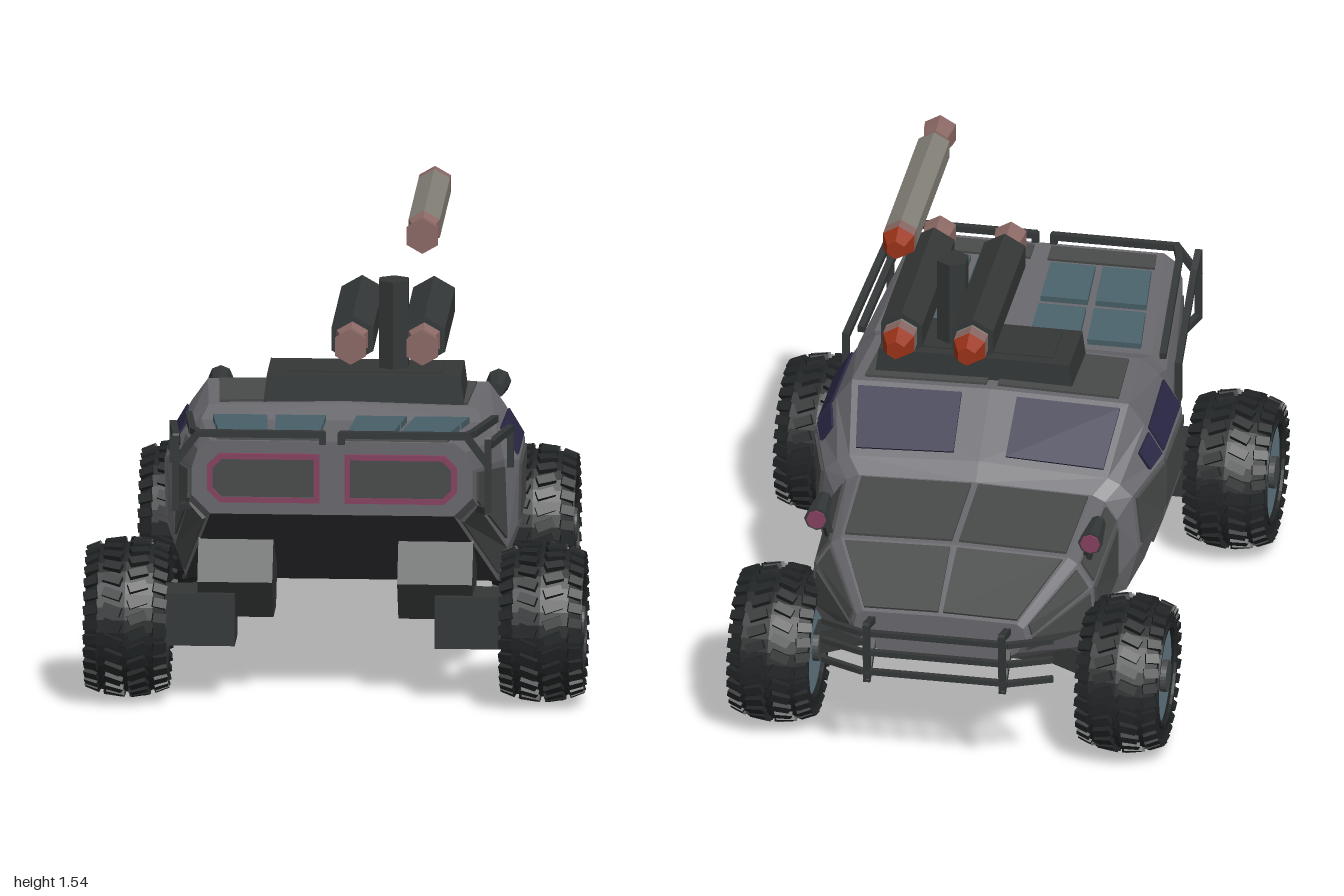
import * as THREE from 'three';
import { mergeGeometries } from 'three/addons/utils/BufferGeometryUtils.js';

const mat = (color) => new THREE.MeshStandardMaterial({ color, flatShading: true });
const M = {
  frame: mat(0x68676c), panel: mat(0x484a4a), dark: mat(0x343737), under: mat(0x333336),
  tyre: mat(0x212425), rim: mat(0x667b86), hub: mat(0x45494b), glass: mat(0x2a2845),
  solar: mat(0x4a626a), pink: mat(0x85405f), shell: mat(0x827f76), nozzle: mat(0x8a6864), tip: mat(0x9a3218),
};
const V = (x, y, z) => new THREE.Vector3(x, y, z);

// Hull stations: z, then a half outline from keel centre, round the side, to roof centre
const HULL = [
  [0.98, [[0, .65], [.39, .65], [.45, .71], [.45, .8], [.43, .86], [.39, .89], [0, .89]]],
  [0.42, [[0, .31], [.5, .31], [.53, .42], [.52, .71], [.5, .78], [.45, .83], [0, .83]]],
  [0.34, [[0, .31], [.5, .31], [.56, .48], [.565, .69], [.49, .81], [.43, .86], [0, .87]]],
  [0.02, [[0, .31], [.5, .31], [.56, .48], [.565, .69], [.5, .8], [.45, .87], [0, .88]]],
  [-0.19, [[0, .31], [.48, .31], [.52, .46], [.5, .65], [.46, .69], [.42, .71], [0, .73]]],
  [-0.24, [[0, .31], [.43, .31], [.46, .38], [.46, .59], [.42, .65], [.38, .67], [0, .68]]],
  [-0.62, [[0, .31], [.42, .33], [.46, .4], [.45, .55], [.4, .63], [.37, .65], [0, .66]]],
  [-0.88, [[0, .4], [.2, .4], [.25, .43], [.28, .48], [.27, .52], [.25, .535], [0, .54]]],
];
const pt = (i, j, s) => V(HULL[i][1][j][0] * s, HULL[i][1][j][1], HULL[i][0]);
const quad = (s, a, d, c, b) => (s > 0 ? [a, d, c, b] : [a, b, c, d]);

// Flat-faced geometry from loops of coplanar corners
function facets(loops) {
  const pos = [];
  for (const l of loops)
    for (let k = 1; k < l.length - 1; k++) for (const p of [l[0], l[k], l[k + 1]]) pos.push(p.x, p.y, p.z);
  const g = new THREE.BufferGeometry();
  g.setAttribute('position', new THREE.Float32BufferAttribute(pos, 3));
  g.computeVertexNormals();
  return g;
}

export function createModel() {
  const root = new THREE.Group();
  root.name = 'armedBuggy';
  const add = (name, geo, m, x = 0, y = 0, z = 0, parent = root) => {
    const mesh = new THREE.Mesh(geo, m);
    mesh.name = name;
    mesh.position.set(x, y, z);
    parent.add(mesh);
    return mesh;
  };
  const box = (name, m, w, h, d, x, y, z, p) => add(name, new THREE.BoxGeometry(w, h, d), m, x, y, z, p);

  // Square bars along a polyline
  const bars = (name, m, pts, t = 0.022) => {
    const parts = [];
    for (let k = 0; k < pts.length - 1; k++) {
      const o = new THREE.Object3D();
      o.position.copy(pts[k]).lerp(pts[k + 1], 0.5);
      o.lookAt(pts[k + 1]);
      o.updateMatrix();
      parts.push(new THREE.BoxGeometry(t, t, pts[k].distanceTo(pts[k + 1]) + t * 0.6).applyMatrix4(o.matrix));
    }
    return add(name, mergeGeometries(parts), m);
  };

  // Hull, underside and end faces
  const hull = [], belly = [];
  for (const s of [1, -1]) {
    for (let i = 0; i < HULL.length - 1; i++)
      for (let j = 0; j < 6; j++)
        (j ? hull : belly).push(quad(s, pt(i, j, s), pt(i + 1, j, s), pt(i + 1, j + 1, s), pt(i, j + 1, s)));
    const rear = HULL[0][1].map((_, j) => pt(0, j, s));
    const nose = HULL[0][1].map((_, j) => pt(HULL.length - 1, j, s));
    hull.push(s > 0 ? rear : rear.reverse(), s > 0 ? nose.reverse() : nose);
  }
  add('hull', facets(hull), M.frame);
  add('underside', facets(belly), M.under);

  // Raised plates lying on hull faces: station i, outline step j, u along z, v along the outline
  const plate = (name, m, i, j, u0, u1, v0, v1, lift = 0.008) => {
    const loops = [];
    for (const s of [1, -1]) {
      const at = (u, v) => pt(i, j, s).lerp(pt(i + 1, j, s), u)
        .lerp(pt(i, j + 1, s).lerp(pt(i + 1, j + 1, s), u), v);
      const q = quad(s, at(u0, v0), at(u1, v0), at(u1, v1), at(u0, v1));
      const n = q[2].clone().sub(q[0]).cross(q[3].clone().sub(q[1])).normalize();
      const top = q.map((p) => p.clone().addScaledVector(n, lift));
      const low = q.map((p) => p.clone().addScaledVector(n, -0.01));
      loops.push(top);
      for (let k = 0; k < 4; k++) loops.push([low[k], low[(k + 1) % 4], top[(k + 1) % 4], top[k]]);
    }
    add(name, facets(loops), m);
  };
  plate('rearSidePanel', M.panel, 0, 2, .12, .95, .08, .92);
  plate('rearLowerPanel', M.panel, 0, 1, .12, .95, .15, .95);
  plate('doorPanel', M.panel, 2, 2, .03, .97, .06, .92);
  plate('frontDoorPanel', M.panel, 3, 2, .05, .9, .06, .9);
  plate('sidePanelLow', M.panel, 2, 1, .03, .97, .35, .95);
  plate('sideWindow', M.glass, 2, 3, .03, .97, .12, .85);
  plate('quarterWindow', M.glass, 3, 3, .03, .4, .12, .8);
  plate('windscreen', M.glass, 3, 5, .08, .9, .05, .8);
  plate('roofPanel', M.panel, 2, 5, .08, .92, .08, .96);
  plate('hoodPanel', M.panel, 5, 5, .05, .95, .03, .97);
  plate('hoodSidePanel', M.panel, 5, 2, .06, .95, .08, .92);
  plate('hoodEdgePanel', M.panel, 5, 3, .06, .95, .1, .9);
  plate('nosePanel', M.panel, 6, 5, .05, .95, .03, .97);
  plate('noseSidePanel', M.panel, 6, 2, .06, .9, .08, .92);
  plate('noseEdgePanel', M.panel, 6, 3, .06, .92, .1, .9);
  plate('rearVent', M.panel, 0, 5, .04, .17, .06, .93);
  for (const [u0, u1] of [[.23, .57], [.64, .95]])
    for (const [v0, v1] of [[.08, .47], [.53, .89]]) plate('solarPanel', M.solar, 0, 5, u0, u1, v0, v1, 0.02);

  // Rear lamp surrounds with clipped outer corners
  const lampLoop = (s, g) => [[.04 + g, .69 + g], [.36 - g * .4, .69 + g], [.4 - g, .73 + g * .4],
    [.4 - g, .81 - g * .4], [.36 - g * .4, .85 - g], [.04 + g, .85 - g]].map(([x, y]) => new THREE.Vector2(x * s, y));
  for (const s of [1, -1]) {
    const ring = new THREE.Shape(lampLoop(s, 0));
    ring.holes.push(new THREE.Path(lampLoop(s, 0.018)));
    add('lampRing', new THREE.ExtrudeGeometry(ring, { depth: 0.012, bevelEnabled: false }), M.pink, 0, 0, .98);
    add('lampPanel', new THREE.ExtrudeGeometry(new THREE.Shape(lampLoop(s, 0.018)),
      { depth: 0.006, bevelEnabled: false }), M.panel, 0, 0, .98);

    // Deck rails and rear guard loop
    bars('deckRail', M.dark, [V(.54 * s, .69, .41), V(.54 * s, .81, .41), V(.5 * s, .87, .91), V(.5 * s, .9, .985),
      V(.5 * s, .67, .985), V(.47 * s, .66, .91)]);
    bars('upperRail', M.dark, [V(.49 * s, .84, .41), V(.45 * s, .91, .92), V(.43 * s, .915, .985), V(.5 * s, .82, .985)]);
    bars('rearRail', M.dark, [V(.03 * s, .89, .985), V(.03 * s, .915, .985), V(.43 * s, .915, .985)]);

    // Mirror pods
    bars('mirrorStalk', M.dark, [V(.42 * s, .62, -.55), V(.44 * s, .72, -.57)]);
    add('mirrorPod', new THREE.CylinderGeometry(.025, .04, .14, 8).rotateX(Math.PI / 2), M.dark, .445 * s, .72, -.57);
    add('mirrorLens', new THREE.CylinderGeometry(.032, .032, .01, 8).rotateX(Math.PI / 2), M.pink, .445 * s, .72, -.642);

    // Suspension
    add('rearGearbox', new THREE.CylinderGeometry(.15, .15, .24, 6).rotateZ(Math.PI / 2), M.dark, .32 * s, .39, .68);
    box('rearArm', M.dark, .26, .17, .16, .45 * s, .265, .75);
    bars('frontArm', M.dark, [V(.06 * s, .32, -.6), V(.32 * s, .3, -.58), V(.54 * s, .25, -.63)], .08);

    // Bumper uprights
    bars('bumperUpright', M.dark, [V(.22 * s, .44, -.86), V(.22 * s, .34, -.97), V(.22 * s, .54, -.985), V(.22 * s, .5, -.86)]);
  }
  for (const y of [.37, .44, .51])
    bars('bumperBar', M.dark, [V(-.37, y, -.92), V(-.24, y, -.975), V(.24, y, -.975), V(.37, y, -.92)], .018);

  // Wheels: lathed tyre, chunky tread rows, rim and hub
  const tyreGeo = new THREE.LatheGeometry([[.15, -.1], [.17, -.125], [.21, -.125], [.232, -.09], [.24, 0],
    [.232, .09], [.21, .125], [.17, .125], [.15, .1]].map(([r, h]) => new THREE.Vector2(r, h)), 36).rotateZ(-Math.PI / 2);
  const lugs = [];
  for (let k = 0; k < 30; k++)
    for (const [x, r, w, skew] of [[-.108, .222, .045, .12], [-.04, .24, .06, -.35], [.04, .24, .06, .35], [.108, .222, .045, -.12]])
      lugs.push(new THREE.BoxGeometry(w, .026, .03).rotateY(skew).rotateZ(-x * 3.5).translate(x, r, 0)
        .rotateX(((k + (x > 0 ? .5 : 0)) / 30) * Math.PI * 2));
  const lugGeo = mergeGeometries(lugs);
  const disc = (r, d) => new THREE.CylinderGeometry(r, r, d, 28).rotateZ(Math.PI / 2);
  for (const [x, z] of [[.665, .75], [.565, -.63]])
    for (const s of [1, -1]) {
      const w = new THREE.Group();
      w.name = z > 0 ? 'rearWheel' : 'frontWheel';
      w.position.set(x * s, .255, z);
      root.add(w);
      add('tyre', tyreGeo, M.tyre, 0, 0, 0, w);
      add('tread', lugGeo, M.tyre, 0, 0, 0, w);
      add('rim', disc(.162, .225), M.rim, 0, 0, 0, w);
      add('rimLip', new THREE.TorusGeometry(.163, .01, 6, 28).rotateY(Math.PI / 2), M.tyre, .122 * s, 0, 0, w);
      add('hub', disc(.052, .265), M.hub, 0, 0, 0, w);
    }

  // Roof mount and launcher post
  const mount = new THREE.CylinderGeometry(Math.SQRT1_2, Math.SQRT1_2 * 1.04, 1, 4).rotateY(Math.PI / 4);
  add('mountBase', mount, M.dark, .065, .905, .2).scale.set(.62, .1, .23);
  box('mountCap', M.dark, .5, .02, .16, .065, .95, .2);
  add('launcherPost', new THREE.CylinderGeometry(.054, .054, .3, 6), M.dark, .155, 1.095, .2);

  // Hexagonal missiles, pointing to -z, and their launch tubes
  const hex = (r0, r1, z0, z1) => new THREE.CylinderGeometry(r0, r1, z0 - z1, 6)
    .rotateX(Math.PI / 2).translate(0, 0, (z0 + z1) / 2);
  const missile = (name, x, y) => {
    const g = new THREE.Group();
    g.name = name;
    g.position.set(x, y, 0);
    root.add(g);
    add('nozzle', hex(.058, .054, .6, .565), M.nozzle, 0, 0, 0, g);
    add('nozzleNeck', hex(.054, .044, .565, .52), M.nozzle, 0, 0, 0, g);
    add('tail', hex(.044, .058, .52, .485), M.nozzle, 0, 0, 0, g);
    add('shell', hex(.058, .058, .485, -.1), M.shell, 0, 0, 0, g);
    add('collar', hex(.058, .058, -.1, -.145), M.nozzle, 0, 0, 0, g);
    add('tip', hex(.058, .032, -.145, -.2), M.tip, 0, 0, 0, g);
  };
  for (const x of [.038, .268]) {
    add('launchTube', hex(.077, .077, .485, -.09), M.dark, x, 1.113, 0);
    missile('loadedMissile', x, 1.113);
  }
  missile('launchedMissile', .268, 1.48);
  return root;
}
